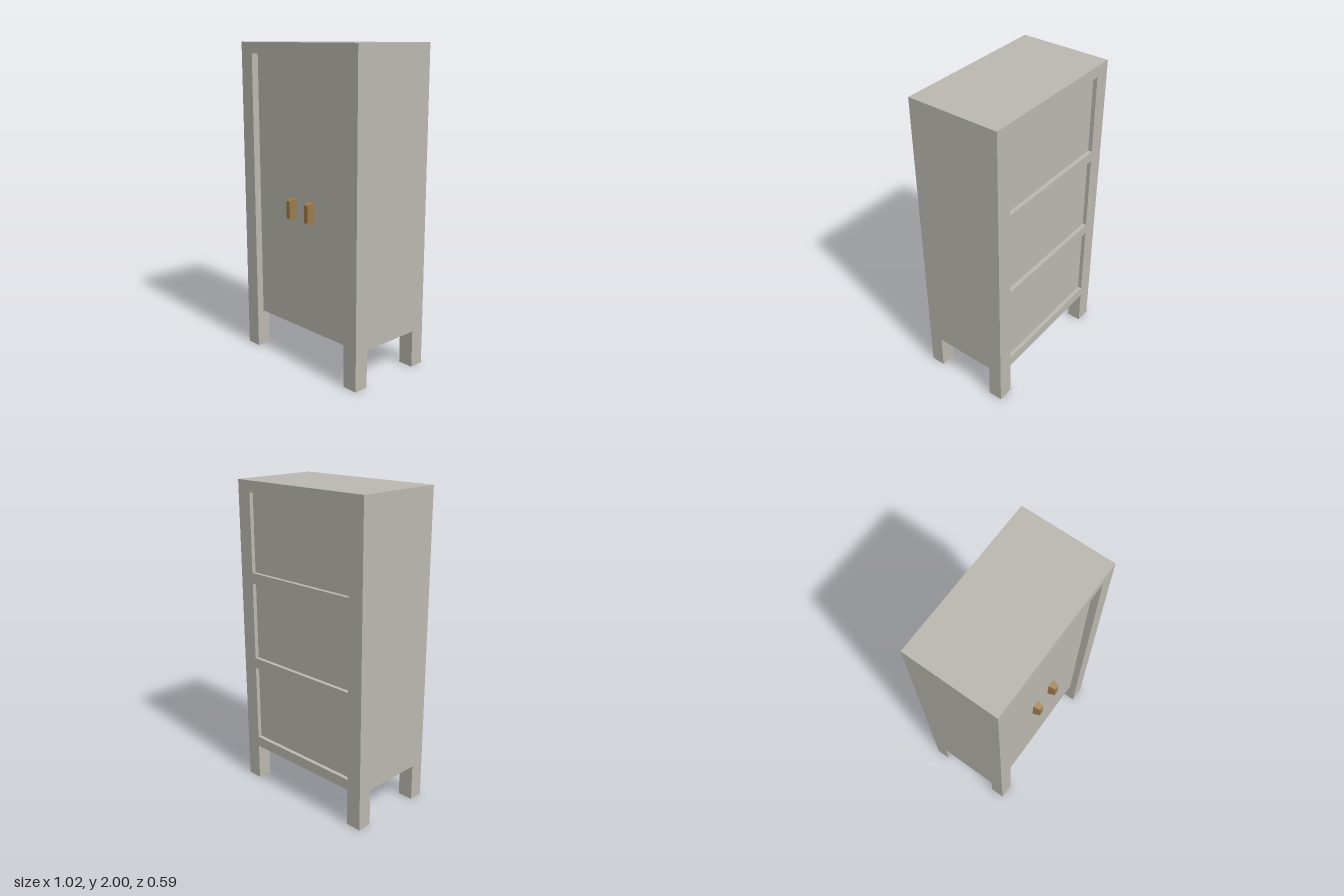
import * as THREE from 'three';

const W = 0.512, D = 0.296, H = 2;          // half width, half depth, height
const INNER = 0.41;                         // half width between the sides
const BASE = 0.237, TOP = 1.93;             // underside of cabinet, underside of top
const LEG_Z = 0.203;                        // inner face of the legs
const DOOR_Z = 0.25, BACK_Z = -0.27;        // recessed front and back faces

export function createModel() {
  const paint = new THREE.MeshStandardMaterial({ color: 0xb9b7af });
  paint.name = 'greyPaint';
  const brass = new THREE.MeshStandardMaterial({ color: 0x9a7b48 });
  brass.name = 'brass';

  const model = new THREE.Group();
  model.name = 'cabinet';

  const add = (name, geometry, material, x = 0, y = 0, z = 0) => {
    const mesh = new THREE.Mesh(geometry, material);
    mesh.name = name;
    mesh.position.set(x, y, z);
    model.add(mesh);
    return mesh;
  };
  const box = (name, x0, x1, y0, y1, z0, z1) =>
    add(name, new THREE.BoxGeometry(x1 - x0, y1 - y0, z1 - z0), paint,
      (x0 + x1) / 2, (y0 + y1) / 2, (z0 + z1) / 2);

  // Side boards, each cut away at the bottom to leave a front and a back leg
  const profile = new THREE.Shape([
    [-D, 0], [-LEG_Z, 0], [-LEG_Z, BASE], [LEG_Z, BASE],
    [LEG_Z, 0], [D, 0], [D, H], [-D, H],
  ].map(([z, y]) => new THREE.Vector2(z, y)));
  const sideGeometry = new THREE.ExtrudeGeometry(profile, { depth: W - INNER, bevelEnabled: false });
  sideGeometry.rotateY(Math.PI / 2);
  add('leftSideWithLegs', sideGeometry, paint, INNER);
  add('rightSideWithLegs', sideGeometry, paint, -W);

  // Top board and the closed body with its recessed door front
  box('topBoard', -INNER, INNER, TOP, H, -D, D);
  box('bodyAndDoorFront', -INNER, INNER, BASE, TOP, BACK_Z, DOOR_Z);

  // Three rails on the back, leaving three sunken panels
  const rail = 0.068, pitch = (TOP - BASE) / 3;
  for (let i = 0; i < 3; i++) {
    const y = BASE + i * pitch;
    box(`backRail${i + 1}`, -INNER, INNER, y, y + rail, -D, BACK_Z);
  }

  // Handles: blocks that taper towards the front
  const depth = D - DOOR_Z;
  const handleGeometry = new THREE.BoxGeometry(0.054, 0.14, depth);
  const p = handleGeometry.attributes.position;
  for (let i = 0; i < p.count; i++) {
    if (p.getZ(i) > 0) p.setXY(i, p.getX(i) * 0.58, p.getY(i) * 0.79);
  }
  const handle = handleGeometry.toNonIndexed();
  handle.computeVertexNormals();
  add('leftHandle', handle, brass, 0.082, 0.997, DOOR_Z + depth / 2);
  add('rightHandle', handle, brass, -0.082, 0.997, DOOR_Z + depth / 2);

  return model;
}
